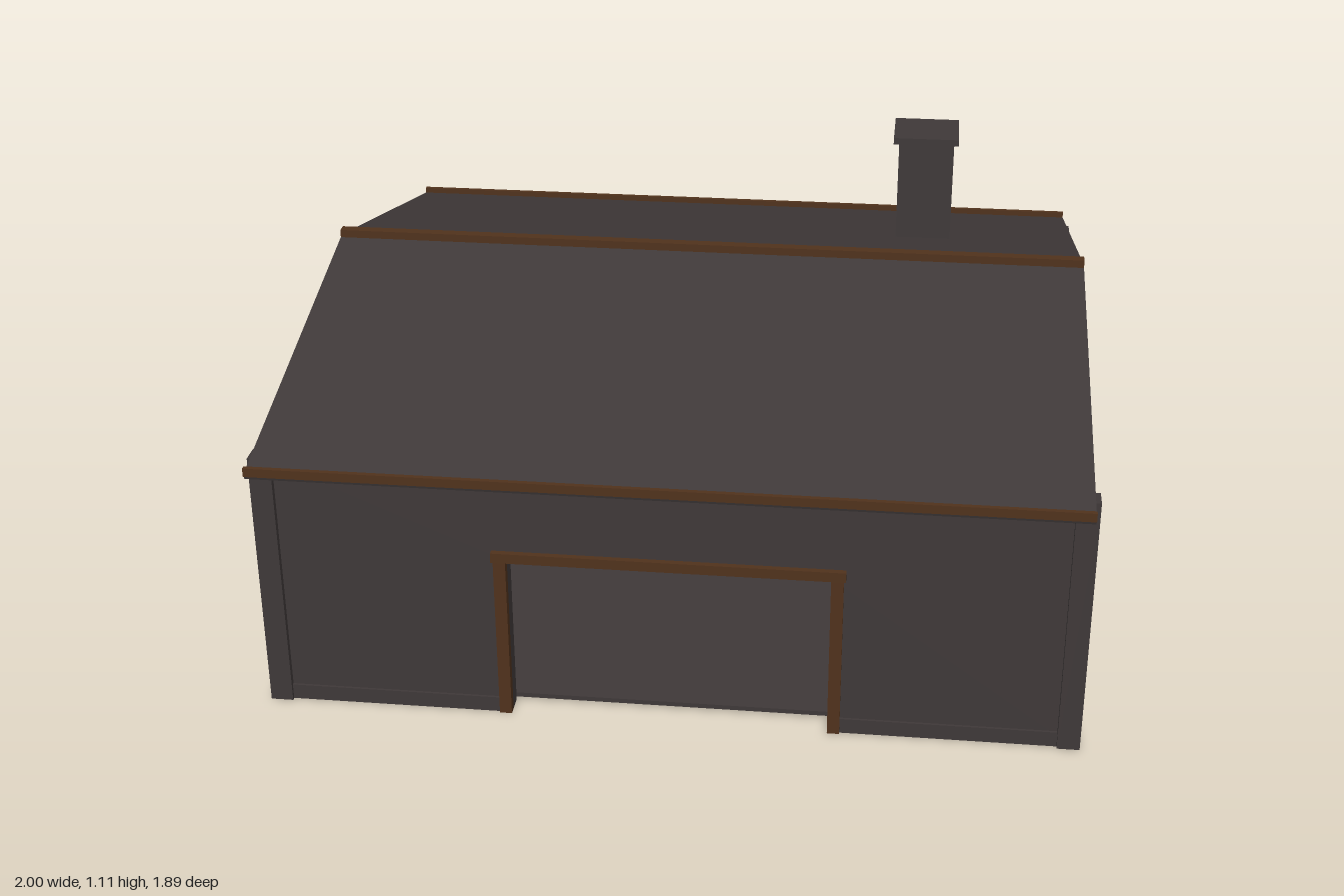
import * as THREE from 'three';

const grey = new THREE.MeshStandardMaterial({ color: 0x3f3939 });
grey.name = 'charcoal plaster';
const brown = new THREE.MeshStandardMaterial({ color: 0x50321c });
brown.name = 'brown wood';

const WALL_TOP = 0.68, THICK = 0.05;

// Box given by its limits on each axis
function box(parent, name, mat, [x0, x1], [y0, y1], [z0, z1]) {
  const mesh = new THREE.Mesh(new THREE.BoxGeometry(x1 - x0, y1 - y0, z1 - z0), mat);
  mesh.position.set((x0 + x1) / 2, (y0 + y1) / 2, (z0 + z1) / 2);
  mesh.name = name;
  parent.add(mesh);
  return mesh;
}

function extrude(parent, name, shape, depth, z) {
  const mesh = new THREE.Mesh(new THREE.ExtrudeGeometry(shape, { depth, bevelEnabled: false }), grey);
  mesh.position.z = z;
  mesh.name = name;
  parent.add(mesh);
  return mesh;
}

const polygon = (pts) => new THREE.Shape(pts.map(([x, y]) => new THREE.Vector2(x, y)));

// One side of the house, made facing +z and then turned into place
function side({ name, turn, half, edge, dist, door, windows = [], gable }) {
  const g = new THREE.Group();
  g.name = name;
  g.rotation.y = turn;

  // Wall with door notch and window holes
  const outline = [[-half, 0]];
  if (door) {
    outline.push([door.x0, 0], [door.x0, door.top], [door.x1, door.top], [door.x1, 0]);
  }
  outline.push([half, 0], [half, WALL_TOP], [-half, WALL_TOP]);
  const shape = polygon(outline);
  for (const { x, y, w, h } of windows) {
    shape.holes.push(new THREE.Path([[-1, -1], [-1, 1], [1, 1], [1, -1]].map(
      ([a, b]) => new THREE.Vector2(x + a * w / 2, y + b * h / 2))));
  }
  extrude(g, 'wall', shape, THICK, dist - THICK);
  if (gable) {
    extrude(g, 'gable', polygon([[-0.86, WALL_TOP], [0.86, WALL_TOP], [0, 0.893]]), THICK, dist - THICK);
  }

  // Plinth, broken at the door
  const runs = door ? [[-edge, door.x0], [door.x1, edge]] : [[-edge, edge]];
  for (const run of runs) box(g, 'plinth', grey, run, [0, 0.04], [dist, dist + 0.006]);

  // Door frame
  if (door) {
    const { x0, x1, top, t } = door;
    const z = [dist - 0.01, dist + 0.012];
    box(g, 'doorJamb', brown, [x0 - t, x0], [0, top], z);
    box(g, 'doorJamb', brown, [x1, x1 + t], [0, top], z);
    box(g, 'doorLintel', brown, [x0 - t - 0.005, x1 + t + 0.005], [top, top + t * 0.85], [z[0], z[1] + 0.003]);
  }

  // Window frames
  for (const { x, y, w, h } of windows) {
    const t = 0.012, z = [dist - 0.01, dist + 0.01];
    for (const s of [-1, 1]) {
      const xs = [x + s * w / 2, x + s * (w / 2 + t)].sort((a, b) => a - b);
      const ys = [y + s * h / 2, y + s * (h / 2 + t)].sort((a, b) => a - b);
      box(g, 'windowJamb', brown, xs, [y - h / 2, y + h / 2], z);
      box(g, 'windowRail', brown, [x - w / 2 - t, x + w / 2 + t], ys, z);
    }
  }
  return g;
}

export function createModel() {
  const house = new THREE.Group();
  house.name = 'house';
  const win = (x) => ({ x, y: 0.235, w: 0.15, h: 0.17 });

  // Four sides
  house.add(
    side({ name: 'frontSide', turn: 0, half: 0.98, edge: 0.945, dist: 0.85,
      door: { x0: -0.39, x1: 0.39, top: 0.43, t: 0.03 } }),
    side({ name: 'backSide', turn: Math.PI, half: 0.98, edge: 0.945, dist: 0.85,
      windows: [win(-0.48), win(0.48)] }),
    side({ name: 'leftSide', turn: Math.PI / 2, half: 0.8, edge: 0.815, dist: 0.98, gable: true,
      windows: [win(0.403)] }),
    side({ name: 'rightSide', turn: -Math.PI / 2, half: 0.8, edge: 0.815, dist: 0.98, gable: true,
      door: { x0: -0.07, x1: 0.085, top: 0.3, t: 0.018 } }),
  );

  // Floor slab
  box(house, 'floor', grey, [-0.93, 0.93], [0.008, 0.02], [-0.8, 0.8]);

  // Corner posts
  for (const sx of [-1, 1]) for (const sz of [-1, 1]) {
    const post = box(house, 'cornerPost', grey, [-0.0275, 0.0275], [0, 0.678], [-0.025, 0.025]);
    post.position.x = sx * 0.9725;
    post.position.z = sz * 0.84;
  }

  // Roof: one folded slab running along x
  const roof = new THREE.Group();
  roof.name = 'roof';
  roof.rotation.y = Math.PI / 2;
  extrude(roof, 'roofSlab', polygon([[-0.935, 0.662], [0, 0.893], [0.935, 0.662],
    [0.94, 0.677], [0, 0.908], [-0.94, 0.677]]), 1.97, -0.985);
  house.add(roof);

  // Ridge cap and eave strips
  box(house, 'ridgeCap', brown, [-0.985, 0.985], [0.9, 0.925], [-0.014, 0.014]);
  for (const s of [-1, 1]) {
    const strip = box(house, 'eaveStrip', brown, [-0.985, 0.985], [0.672, 0.694], [-0.006, 0.006]);
    strip.position.z = s * 0.938;
  }

  // Chimney
  box(house, 'chimneyStack', grey, [0.49, 0.64], [0.76, 1.09], [-0.53, -0.375]);
  box(house, 'chimneyCap', grey, [0.475, 0.652], [1.09, 1.108], [-0.54, -0.367]);
  return house;
}
